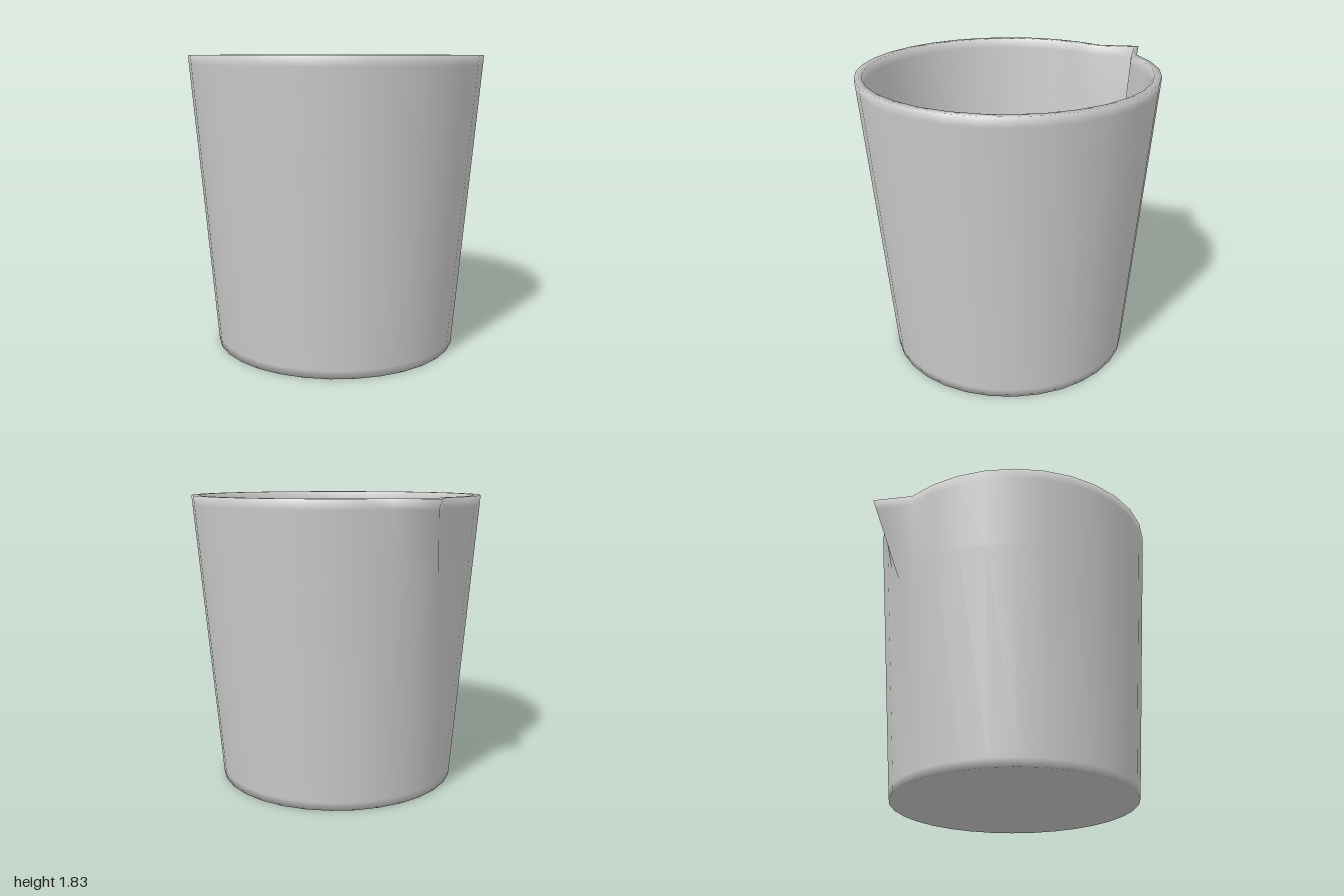
import * as THREE from 'three';
import { mergeVertices } from 'three/addons/utils/BufferGeometryUtils.js';

const HEIGHT = 1.83;
const SEGMENTS = 32;
const SPOUT_START = 1.32; // height where the spout leaves the wall
const SPOUT_REACH = 0.17; // how far the lip is pulled out

// radius of the tapered outer wall at a given height
const outerRadius = (y) => 0.765 + 0.15 * (y / HEIGHT);

export function createModel() {
  const group = new THREE.Group();
  group.name = 'pouringBeaker';

  // closed profile: underside, outer wall, flat rim, inner wall, inner floor
  const wall = 0.043;
  const floor = 0.05;
  const heights = [0.05, SPOUT_START, 1.77];
  const profile = [
    [0, 0],
    [outerRadius(0), 0],
    ...heights.map((y) => [outerRadius(y), y]),
    [outerRadius(HEIGHT), HEIGHT],
    [outerRadius(HEIGHT) - wall, HEIGHT],
    ...[1.77, SPOUT_START, 0.1, floor].map((y) => [outerRadius(y) - wall, y]),
    [0, floor],
  ].map(([r, y]) => new THREE.Vector2(r, y));

  let geometry = new THREE.LatheGeometry(profile, SEGMENTS);

  // pull the rearmost column of vertices back into a pointed spout
  const p = geometry.attributes.position;
  for (let i = 0; i < p.count; i++) {
    if (Math.abs(p.getX(i)) < 0.01 && p.getZ(i) < -0.5) {
      const t = Math.max(0, (p.getY(i) - SPOUT_START) / (HEIGHT - SPOUT_START));
      p.setZ(i, p.getZ(i) - SPOUT_REACH * t);
    }
  }

  // weld the seam and smooth the shading
  geometry.deleteAttribute('uv');
  geometry.deleteAttribute('normal');
  geometry = mergeVertices(geometry, 1e-4);
  geometry.computeVertexNormals();
  geometry.translate(0, 0, 0.085);

  const material = new THREE.MeshStandardMaterial({ color: 0xcccccc });
  const cup = new THREE.Mesh(geometry, material);
  cup.name = 'cupWithSpout';
  group.add(cup);
  return group;
}
